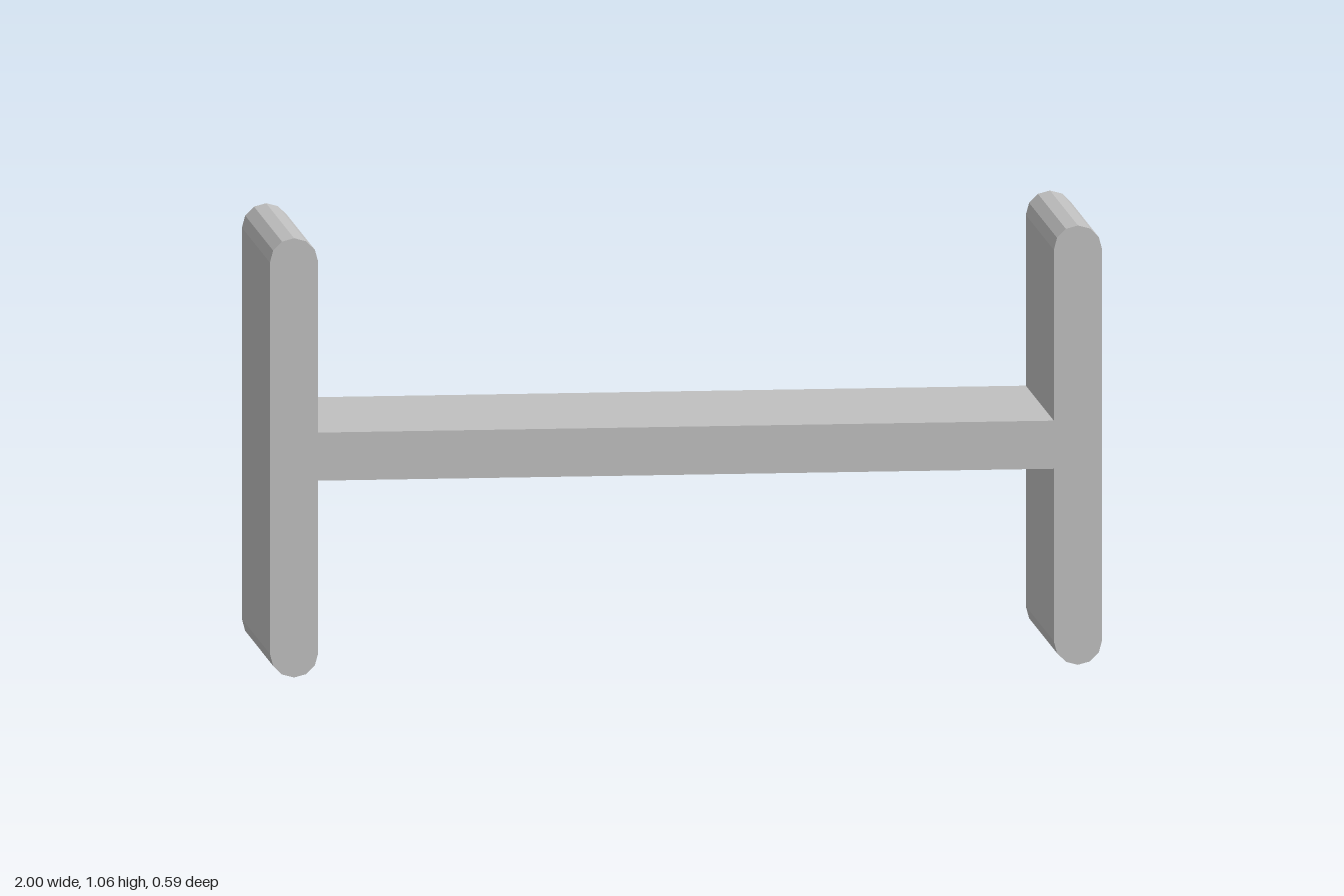
import * as THREE from 'three';

const DEPTH = 0.59;
const HEIGHT = 1.06;
const THICK = 0.116;

// Upright slab outline with six-sided rounded ends
function panelGeometry() {
  const r = THICK / 2;
  const steps = 6;
  const points = [];
  for (const [cy, start] of [[HEIGHT - r, 0], [r, Math.PI]]) {
    for (let i = 0; i <= steps; i++) {
      const a = start + (Math.PI * i) / steps;
      points.push(new THREE.Vector2(r * Math.cos(a), cy + r * Math.sin(a)));
    }
  }
  const geometry = new THREE.ExtrudeGeometry(new THREE.Shape(points), {
    depth: DEPTH,
    bevelEnabled: false,
  });
  return geometry.translate(0, 0, -DEPTH / 2);
}

export function createModel() {
  const group = new THREE.Group();
  group.name = 'bench';
  const grey = new THREE.MeshStandardMaterial({ color: 0xc0c0c0, flatShading: true });
  grey.name = 'light grey';

  // Two end panels
  const geometry = panelGeometry();
  for (const [name, side] of [['leftPanel', 1], ['rightPanel', -1]]) {
    const panel = new THREE.Mesh(geometry, grey);
    panel.name = name;
    panel.position.x = side * (1 - THICK / 2);
    group.add(panel);
  }

  // Seat board between the panels
  const seat = new THREE.Mesh(new THREE.BoxGeometry(2 - 2 * THICK, 0.116, DEPTH), grey);
  seat.name = 'seat';
  seat.position.y = 0.532;
  group.add(seat);

  return group;
}
